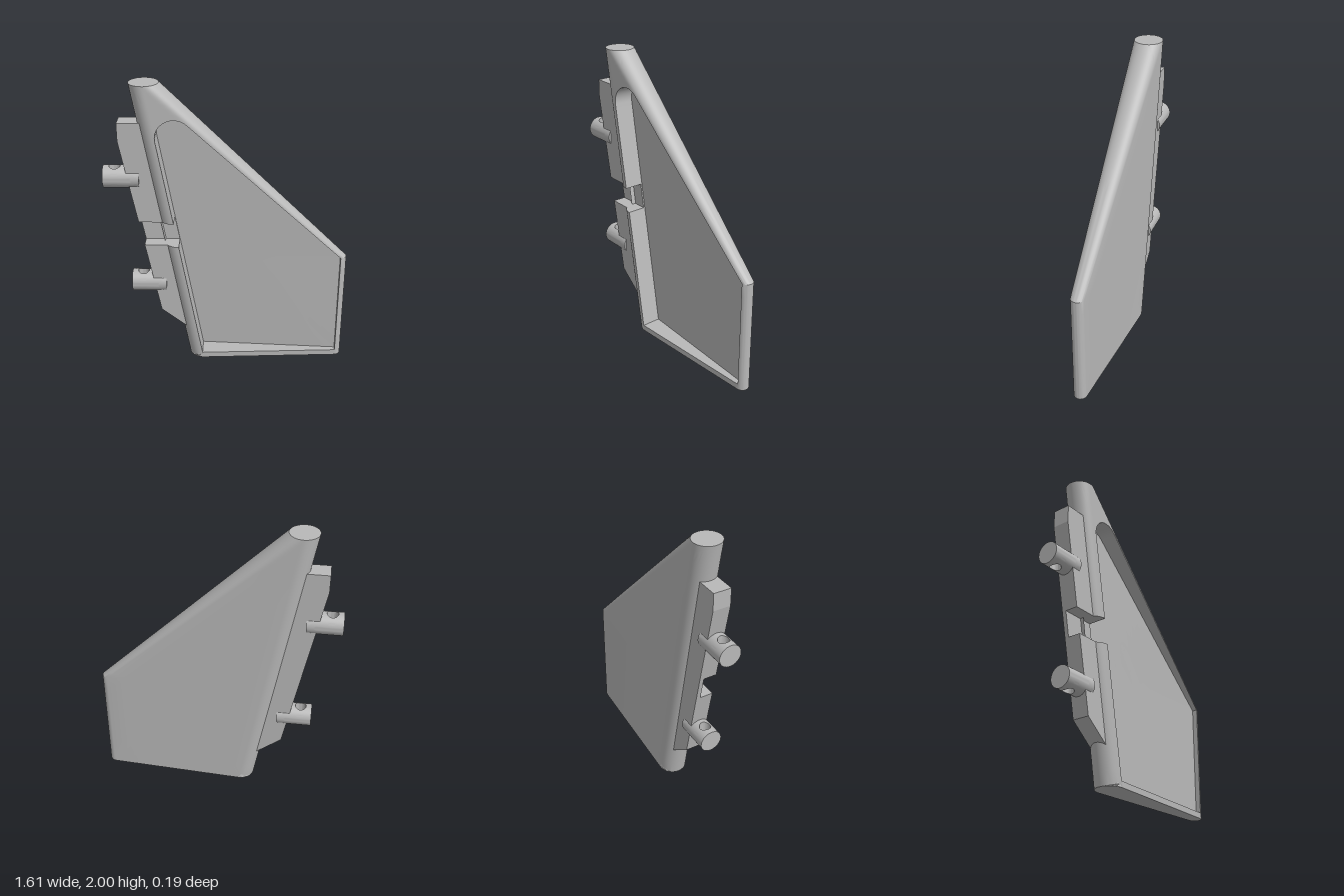
import * as THREE from 'three';
import { mergeGeometries, toCreasedNormals } from 'three/addons/utils/BufferGeometryUtils.js';

const grey = new THREE.MeshStandardMaterial({ color: 0xb8b8b8, side: THREE.DoubleSide });
grey.name = 'plain grey';

const lerp = THREE.MathUtils.lerp;
const mix = (p, q, t) => [lerp(p[0], q[0], t), lerp(p[1], q[1], t)];
const ease = t => (1 - Math.cos(Math.PI * t)) / 2;   // dense at both ends
const easeIn = t => 1 - Math.cos(Math.PI * t / 2);   // dense at the start

// Patch of nu x nv quads from fn(u, v) -> [x, y, z]
function patch(nu, nv, fn, flip = false) {
  const out = [];
  for (let i = 0; i < nu; i++) for (let j = 0; j < nv; j++) {
    const a = fn(i / nu, j / nv), b = fn((i + 1) / nu, j / nv);
    const c = fn((i + 1) / nu, (j + 1) / nv), d = fn(i / nu, (j + 1) / nv);
    out.push(...(flip ? [a, c, b, a, d, c] : [a, b, c, a, c, d]).flat());
  }
  const g = new THREE.BufferGeometry();
  g.setAttribute('position', new THREE.Float32BufferAttribute(out, 3));
  return g;
}

function addMesh(group, name, geometry) {
  const mesh = new THREE.Mesh(geometry, grey);
  mesh.name = name;
  group.add(mesh);
}

// Fin thickness: a thick round leading edge tapering to a thin round trailing edge
const R = 0.095, r = 0.045;
const leadX = y => -0.27 - 0.175 * y;
function half(x, y) {
  const k = Math.max(0, (y - 0.79) / 1.21);
  const rr = lerp(r, R, k);
  const cl = leadX(y) + R, cr = Math.max(cl, lerp(0.8, -0.43, k) - rr);
  if (x <= cl) return Math.sqrt(Math.max(0, R * R - (x - cl) ** 2));
  if (x >= cr) return Math.sqrt(Math.max(0, rr * rr - (x - cr) ** 2));
  return lerp(R, rr, (x - cl) / (cr - cl));
}

const NOTCH_Z = -0.03, NOTCH_TOP = 1.06, NOTCH_LOW = 0.89;
const front = (x, y) => half(x, y);
const back = (x, y) => -half(x, y);
const floorZ = (x, y) => 0.055 - half(x, y);
const notch = (x, y) => Math.max(-half(x, y), Math.min(half(x, y), NOTCH_Z));

function finGeometry() {
  // Fin corners (outer) and matching pocket corners (inner)
  const A = [leadX(0), 0], B = [0.8, 0], C = [0.8, 0.79], D = [-0.43, 2], E = [-0.62, 2];
  const a = [-0.18, 0.04], b = [0.76, 0.04], c = [0.76, 0.79];
  const arc = t => {
    const w = THREE.MathUtils.degToRad(lerp(47, 190, t));
    return [-0.34 + 0.12 * Math.cos(w), 1.66 + 0.12 * Math.sin(w)];
  };
  const d = arc(0), e = arc(1);
  const outerAt = y => [leadX(y), y];
  const innerAt = y => mix(e, a, (e[1] - y) / (e[1] - a[1]));
  const line = (p, q) => t => mix(p, q, t);
  const segments = [
    { n: 40, out: t => mix(A, B, ease(t)), inn: t => mix(a, b, ease(t)) },
    { n: 8, out: line(B, C), inn: line(b, c) },
    { n: 24, out: line(C, D), inn: line(c, d) },
    { n: 24, out: t => mix(D, E, ease(t)), inn: arc },
    { n: 12, out: line(E, outerAt(NOTCH_TOP)), inn: line(e, innerAt(NOTCH_TOP)) },
    { n: 4, out: line(outerAt(NOTCH_TOP), outerAt(NOTCH_LOW)),
      inn: line(innerAt(NOTCH_TOP), innerAt(NOTCH_LOW)), cut: true },
    { n: 12, out: line(outerAt(NOTCH_LOW), A), inn: line(innerAt(NOTCH_LOW), a) },
  ];
  const mid = [0.15, 0.7], parts = [];
  const at = (p, zf) => [p[0], p[1], zf(p[0], p[1])];
  for (const { n, out, inn, cut } of segments) {
    const top = cut ? notch : front;
    const rim = (u, v) => mix(out(u), inn(u), easeIn(v));
    const fill = (u, v) => mix(inn(u), mid, v);
    parts.push(
      patch(n, 10, (u, v) => at(rim(u, v), top)),
      patch(n, 10, (u, v) => at(rim(u, v), back), true),
      patch(n, 6, (u, v) => at(fill(u, v), back), true),
      patch(n, 6, (u, v) => at(fill(u, v), floorZ)),
      // pocket wall
      patch(n, 1, (u, v) => {
        const p = inn(u);
        return [...p, lerp(top(...p), floorZ(...p), v)];
      }));
  }
  // Flat ends at the bottom and top
  for (const { n, out } of [segments[0], segments[3]])
    parts.push(patch(n, 1, (u, v) => {
      const p = out(u);
      return [...p, half(...p) * (2 * v - 1)];
    }, true));
  // Side walls of the notch through the leading edge
  for (const y of [NOTCH_TOP, NOTCH_LOW])
    parts.push(patch(12, 1, (u, v) => {
      const p = mix(outerAt(y), innerAt(y), easeIn(u));
      return [...p, lerp(notch(...p), front(...p), v)];
    }, y === NOTCH_LOW));
  return toCreasedNormals(mergeGeometries(parts), 0.5);
}

// Flat hinge plate piece between two depths
function plate(points, z0, z1) {
  const shape = new THREE.Shape(points.map(p => new THREE.Vector2(...p)));
  const g = new THREE.ExtrudeGeometry(shape, { depth: z1 - z0, bevelEnabled: false });
  return g.translate(0, 0, z0);
}

// Round peg along x with a vertical pin hole, centred on the hole
function pegGeometry(x0, x1, rad, hole) {
  const corners = [[x0, rad], [x1, rad], [x1, -rad], [x0, -rad]], parts = [];
  const height = z => Math.sqrt(Math.max(0, rad * rad - z * z));
  corners.forEach((p, i) => {
    const q = corners[(i + 1) % 4];
    const out = u => mix(p, q, i % 2 ? ease(u) : u);
    const inn = u => {
      const [x, z] = out(u), l = Math.hypot(x, z);
      return [x / l * hole, z / l * hole];
    };
    for (const s of [1, -1])
      parts.push(patch(20, 10, (u, v) => {
        const [x, z] = mix(out(u), inn(u), easeIn(v));
        return [x, s * height(z), z];
      }, s < 0));
    // hole wall
    parts.push(patch(20, 1, (u, v) => {
      const [x, z] = inn(u);
      return [x, height(z) * (1 - 2 * v), z];
    }));
    // round end
    if (i % 2) parts.push(patch(20, 1, (u, v) => {
      const [x, z] = out(u);
      return [x, height(z) * (1 - 2 * v), z];
    }, true));
  });
  return toCreasedNormals(mergeGeometries(parts), 0.6);
}

export function createModel() {
  const model = new THREE.Group();
  model.name = 'hingedFin';
  addMesh(model, 'fin', finGeometry());

  // Hinge plate along the leading edge, thinner where the notch crosses it
  const edge = y => [-0.70 + 0.192 * (1.63 - y), y];
  const root = y => [leadX(y) + 0.06, y];
  addMesh(model, 'upperHingePlate', plate(
    [[-0.70, 1.75], [-0.70, 1.63], edge(NOTCH_TOP), root(NOTCH_TOP), root(1.75)], -0.06, 0.06));
  addMesh(model, 'middleHingePlate', plate(
    [edge(NOTCH_TOP), edge(NOTCH_LOW), root(NOTCH_LOW), root(NOTCH_TOP)], -0.06, NOTCH_Z));
  addMesh(model, 'lowerHingePlate', plate(
    [edge(NOTCH_LOW), [-0.46, 0.38], [-0.26, 0.22], root(NOTCH_LOW)], -0.06, 0.06));

  // Two drilled hinge pegs
  for (const [name, x, y] of [['upperPeg', -0.735, 1.365], ['lowerPeg', -0.58, 0.585]]) {
    const peg = new THREE.Group();
    peg.name = name;
    addMesh(peg, name + 'Body', pegGeometry(-0.075, 0.16, 0.075, 0.037));
    peg.position.set(x, y, 0);
    model.add(peg);
  }
  return model;
}
